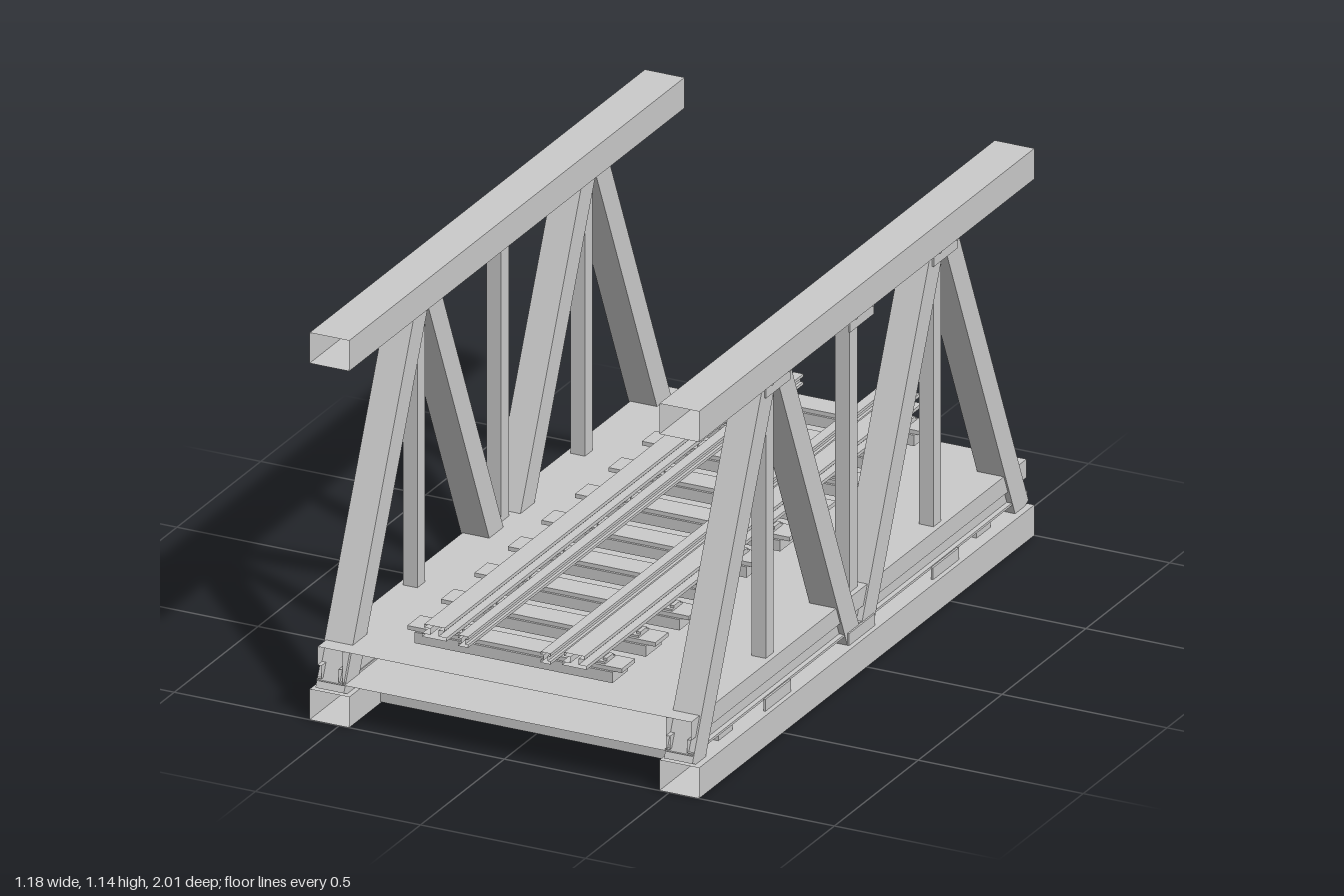
import * as THREE from 'three';

const steel = new THREE.MeshStandardMaterial({ color: 0xcacaca, side: THREE.DoubleSide });
steel.name = 'grey steel';

function add(parent, name, geometry, x = 0, y = 0, z = 0) {
  const mesh = new THREE.Mesh(geometry, steel);
  mesh.name = name;
  mesh.position.set(x, y, z);
  parent.add(mesh);
  return mesh;
}

// Box given by its limits on each axis
function block(parent, name, [x0, x1], [y0, y1], [z0, z1]) {
  const geometry = new THREE.BoxGeometry(x1 - x0, y1 - y0, z1 - z0);
  return add(parent, name, geometry, (x0 + x1) / 2, (y0 + y1) / 2, (z0 + z1) / 2);
}

// Open-ended section running the full length of the bridge
function section(parent, name, profile) {
  const positions = [];
  profile.forEach(([ax, ay], i) => {
    const [bx, by] = profile[(i + 1) % profile.length];
    positions.push(ax, ay, 1, ax, ay, -1, bx, by, -1);
    positions.push(ax, ay, 1, bx, by, -1, bx, by, 1);
  });
  const geometry = new THREE.BufferGeometry();
  geometry.setAttribute('position', new THREE.Float32BufferAttribute(positions, 3));
  geometry.computeVertexNormals();
  return add(parent, name, geometry);
}

const rect = (x0, x1, y0, y1) => [[x0, y0], [x1, y0], [x1, y1], [x0, y1]];

// Symmetric profile around a centre line, from its right half listed upwards
function mirrored(cx, right) {
  const left = right.map(([x, y]) => [-x, y]).reverse();
  return [...right, ...left].map(([x, y]) => [cx + x, y]);
}

// I-shaped rail profile
function railProfile(cx, foot, head, y0, y1) {
  const web = head * 0.4;
  const t = (y1 - y0) * 0.26;
  return mirrored(cx, [[foot, y0], [foot, y0 + t], [web, y0 + t],
    [web, y1 - t], [head, y1 - t], [head, y1]]);
}

// One side truss, built on +x
function createTruss() {
  const truss = new THREE.Group();
  truss.name = 'sideTruss';
  const mid = 0.528;

  section(truss, 'topChord', rect(0.47, 0.59, 1.05, 1.14));
  section(truss, 'bottomChord', rect(0.47, 0.59, 0, 0.09));

  // Deck edge beam, set between the faces of the diagonals
  section(truss, 'deckEdgeBeam', mirrored(mid, [[0.041, 0.12], [0.041, 0.127], [0.026, 0.127],
    [0.026, 0.166], [0.038, 0.166], [0.038, 0.22]]));

  // Diagonals leaning together at z = -0.5 and z = 0.5
  const lean = Math.atan2(0.42, 0.95);
  for (const peak of [-0.5, 0.5]) {
    for (const dir of [-1, 1]) {
      const diagonal = add(truss, 'diagonal', new THREE.BoxGeometry(0.086, 1.09, 0.077),
        mid, 0.582, peak + dir * 0.247);
      diagonal.rotation.x = -dir * lean;
    }
  }

  // Posts with gusset plates and bolts
  for (const z of [-0.5, 0, 0.5]) {
    block(truss, 'post', [mid - 0.022, mid + 0.022], [0.2, 1.06], [z - 0.023, z + 0.023]);
    block(truss, 'topGusset', [0.57, 0.576], [1.01, 1.1], [z - 0.072, z + 0.072]);
    block(truss, 'bottomGusset', [0.57, 0.576], [0.05, 0.125], [z - 0.077, z + 0.077]);
    for (const [y, dz] of [[1.05, -0.05], [1.05, 0.05], [0.08, -0.05], [0.08, 0.05]]) {
      const bolt = add(truss, 'bolt', new THREE.CylinderGeometry(0.008, 0.008, 0.012, 6), 0.58, y, z + dz);
      bolt.rotation.z = Math.PI / 2;
    }
  }
  return truss;
}

function createTrack() {
  const track = new THREE.Group();
  track.name = 'track';
  for (let i = 0; i < 10; i++) {
    const z = -0.9 + i * 0.2;
    block(track, 'sleeper', [-0.3, 0.3], [0.262, 0.294], [z - 0.046, z + 0.046]);
    block(track, 'sleeperPlate', [-0.325, 0.325], [0.294, 0.306], [z - 0.039, z + 0.039]);
    for (const s of [-1, 1]) {
      const clip = new THREE.Group();
      clip.name = 'railClip';
      clip.scale.x = s;
      block(clip, 'clipPlate', [0.155, 0.27], [0.306, 0.312], [z - 0.03, z + 0.03]);
      for (const x of [0.161, 0.264]) {
        block(clip, 'clipKnob', [x - 0.006, x + 0.006], [0.312, 0.319], [z - 0.02, z + 0.02]);
      }
      track.add(clip);
    }
  }
  for (const s of [-1, 1]) {
    section(track, 'rail', railProfile(s * 0.212, 0.037, 0.031, 0.312, 0.35));
    section(track, 'guardRail', railProfile(s * 0.125, 0.015, 0.015, 0.306, 0.338));
  }
  return track;
}

export function createModel() {
  const bridge = new THREE.Group();
  bridge.name = 'trussBridge';

  for (const s of [1, -1]) {
    const truss = createTruss();
    truss.scale.x = s;
    bridge.add(truss);
  }

  // Hollow floor resting on three cross beams
  section(bridge, 'deck', rect(-0.49, 0.49, 0.121, 0.22));
  for (const z of [-0.77, 0, 0.77]) {
    block(bridge, 'crossBeam', [-0.553, 0.553], [0.003, 0.12], [z - 0.042, z + 0.042]);
  }

  bridge.add(createTrack());
  return bridge;
}
